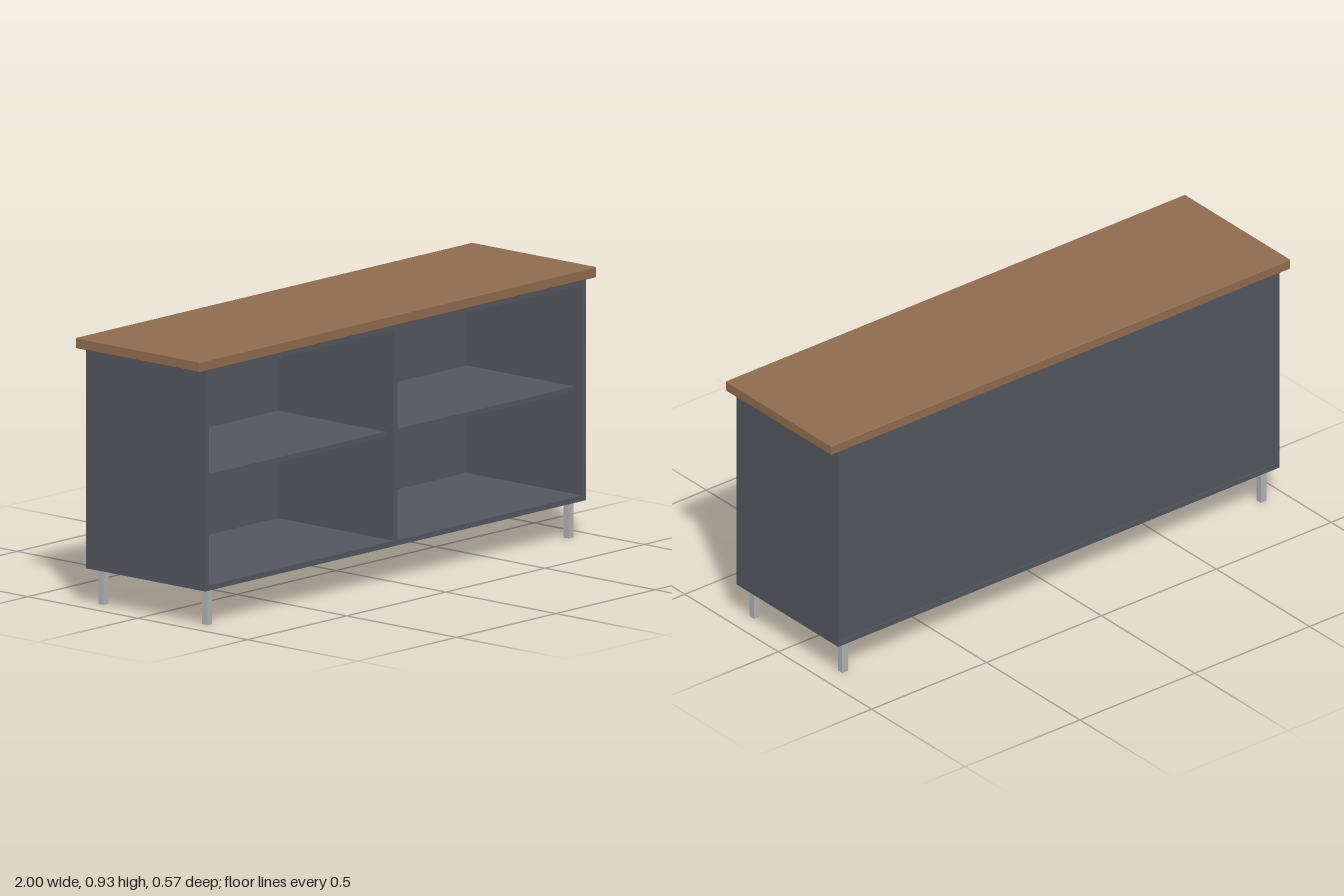
import * as THREE from 'three';
import { RoundedBoxGeometry } from 'three/addons/geometries/RoundedBoxGeometry.js';

export function createModel() {
  const root = new THREE.Group();
  root.name = 'sideboard';
  const mat = (name, color) => {
    const m = new THREE.MeshStandardMaterial({ color });
    m.name = name;
    return m;
  };
  const wood = mat('brown wood', 0x8f6b4e);
  const slate = mat('slate grey', 0x52565e);
  const metal = mat('light metal', 0xaeb0b2);

  // Box given by its min and max on each axis
  const panel = (name, [x0, x1], [y0, y1], [z0, z1], material) => {
    const mesh = new THREE.Mesh(new THREE.BoxGeometry(x1 - x0, y1 - y0, z1 - z0), material);
    mesh.position.set((x0 + x1) / 2, (y0 + y1) / 2, (z0 + z1) / 2);
    mesh.name = name;
    root.add(mesh);
    return mesh;
  };

  const W = 0.96, D = 0.272, BOTTOM = 0.126, TOP = 0.892;
  const T = 0.019, MID = 0.009;
  const inner = W - T, depth = [-D, D], backFace = -0.256;

  // Worktop with slightly eased edges
  const worktop = new THREE.Mesh(new RoundedBoxGeometry(2, 0.036, 0.566, 2, 0.003), wood);
  worktop.position.y = TOP + 0.018;
  worktop.name = 'worktop';
  root.add(worktop);

  // Carcass
  panel('leftSide', [inner, W], [BOTTOM, TOP], depth, slate);
  panel('rightSide', [-W, -inner], [BOTTOM, TOP], depth, slate);
  panel('floorPanel', [-inner, inner], [BOTTOM, BOTTOM + T], depth, slate);
  panel('ceilingPanel', [-inner, inner], [TOP - T, TOP], depth, slate);
  panel('backPanel', [-inner, inner], [BOTTOM + T, TOP - T], [-0.269, backFace], slate);
  panel('divider', [-MID, MID], [BOTTOM + T, TOP - T], [backFace, D], slate);

  // Shelves, set back from the front edge
  panel('leftShelf', [MID, inner], [0.5, 0.517], [backFace, 0.235], slate);
  panel('rightShelf', [-inner, -MID], [0.5, 0.517], [backFace, 0.235], slate);

  // Four square legs
  for (const x of [-0.911, 0.911]) {
    for (const z of [-0.236, 0.236]) {
      const name = (z > 0 ? 'front' : 'back') + (x > 0 ? 'Left' : 'Right') + 'Leg';
      panel(name, [x - 0.012, x + 0.012], [0, BOTTOM], [z - 0.012, z + 0.012], metal);
    }
  }
  return root;
}
